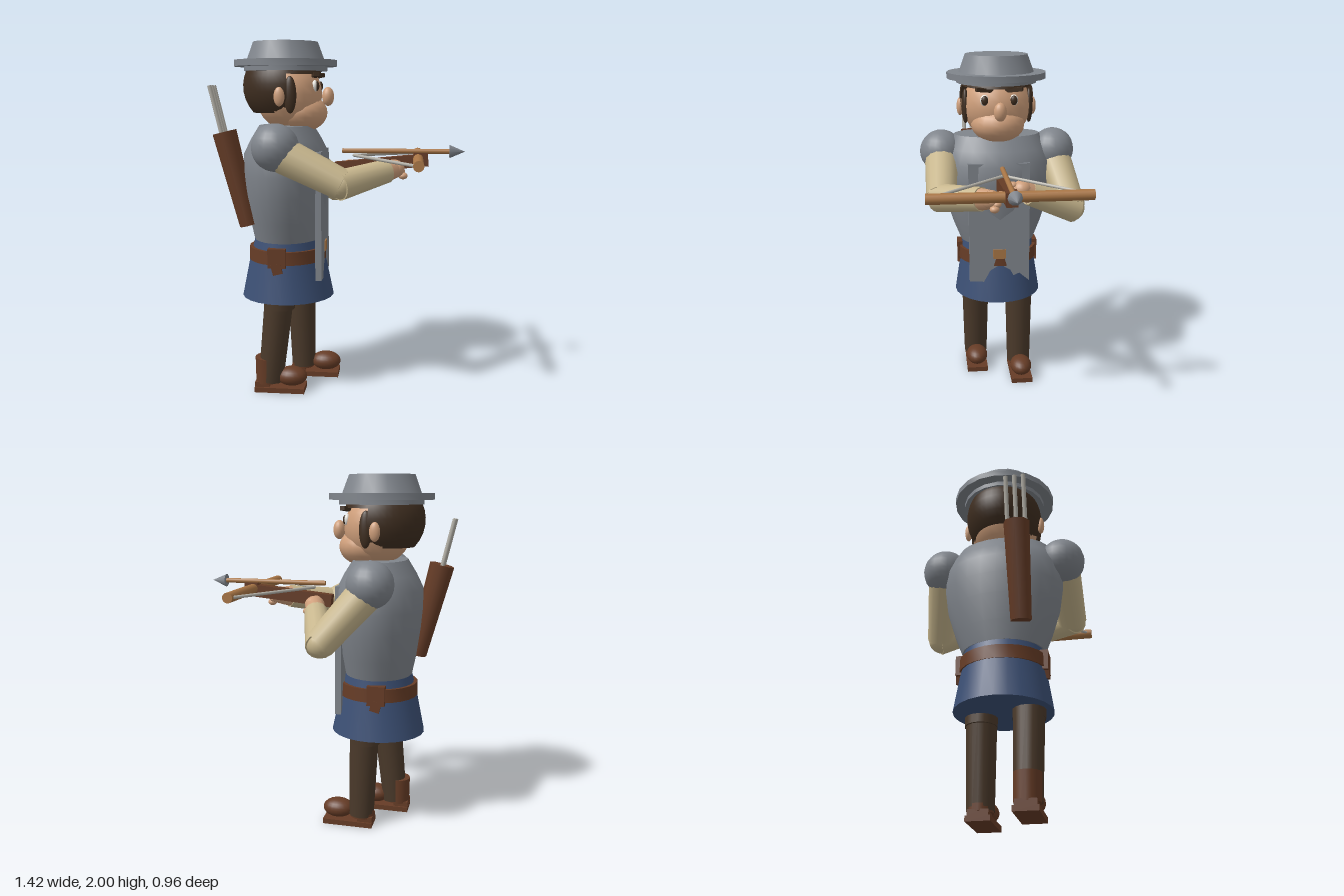
import * as THREE from 'three';
import { toCreasedNormals } from 'three/addons/utils/BufferGeometryUtils.js';

const mat = (name, color, side = THREE.FrontSide) => {
  const m = new THREE.MeshStandardMaterial({ color, side });
  m.name = name;
  return m;
};

export function createModel() {
  const root = new THREE.Group();
  root.name = 'crossbowman';
  const M = {
    steel: mat('steel', 0x80858c),
    skin: mat('skin', 0xcf9f7b),
    hair: mat('hair', 0x3f2e20, THREE.DoubleSide),
    sleeve: mat('sleeve cloth', 0xc8b78e),
    blue: mat('blue tunic', 0x3c5075),
    leather: mat('leather', 0x663c26),
    hose: mat('hose', 0x4a392a),
    wood: mat('wood', 0xa97646),
    shaft: mat('pale shaft', 0xb4b1a8),
    white: mat('eye white', 0xe8e6e0),
  };
  const CX = -0.305, CZ = 0.015;
  const V = (p) => new THREE.Vector3(...p);

  const add = (name, geo, m, pos = [0, 0, 0], rot = [0, 0, 0], parent = root) => {
    const mesh = new THREE.Mesh(geo, m);
    mesh.name = name;
    mesh.position.set(...pos);
    mesh.rotation.set(...rot);
    parent.add(mesh);
    return mesh;
  };
  const ball = (name, pos, r, m, rot) =>
    add(name, new THREE.SphereGeometry(1, 20, 14).scale(...r), m, pos, rot);
  const box = (name, size, pos, m, rot) => add(name, new THREE.BoxGeometry(...size), m, pos, rot);
  // Round bar from a to b, with a radius at each end
  const rod = (name, a, b, ra, rb, m, sides = 16) => {
    const d = V(b).sub(V(a));
    const mesh = add(name, new THREE.CylinderGeometry(rb, ra, d.length(), sides), m);
    mesh.position.copy(V(a)).addScaledVector(d, 0.5);
    mesh.quaternion.setFromUnitVectors(new THREE.Vector3(0, 1, 0), d.normalize());
    return mesh;
  };
  // Oval body from rings [y, x radius, z radius], listed bottom to top, capped at both ends
  const loft = (name, rings, m, sides = 24, crease = 0.6) => {
    const first = rings[0], last = rings[rings.length - 1];
    const all = [[first[0], 0.0005, 0.0005], ...rings, [last[0], 0.0005, 0.0005]];
    const g = new THREE.LatheGeometry(all.map((r) => new THREE.Vector2(1, r[0])), sides);
    const p = g.attributes.position;
    for (let i = 0; i < p.count; i++) {
      const r = all[i % all.length];
      p.setX(i, p.getX(i) * r[1]);
      p.setZ(i, p.getZ(i) * r[2]);
    }
    return add(name, toCreasedNormals(g, crease), m, [CX, 0, CZ]);
  };

  // Hat: inner band, wide brim, tapered crown
  loft('hatBand', [[1.84, 0.235, 0.235], [1.87, 0.235, 0.235]], M.steel, 20, 0.4);
  loft('hatBrim', [[1.865, 0.29, 0.29], [1.9, 0.29, 0.29]], M.steel, 20, 0.4);
  loft('hatCrown', [[1.89, 0.223, 0.223], [2, 0.182, 0.182]], M.steel, 20, 0.4);

  // Head and face
  ball('head', [-0.29, 1.71, CZ], [0.19, 0.2, 0.2], M.skin);
  ball('jaw', [-0.222, 1.61, CZ], [0.152, 0.11, 0.157], M.skin);
  ball('nose', [-0.066, 1.7, CZ], [0.034, 0.053, 0.037], M.skin);
  const hairBack = (200 / 180) * Math.PI;
  add('hair', new THREE.SphereGeometry(1, 24, 12, -hairBack / 2, hairBack, 0, 2.27).scale(0.24, 0.225, 0.217),
    M.hair, [-0.308, 1.755, CZ]);
  add('fringe', new THREE.SphereGeometry(1, 24, 6, 0, Math.PI * 2, 0, 1.25).scale(0.22, 0.21, 0.21),
    M.hair, [-0.31, 1.755, CZ]);
  for (const s of [1, -1]) {
    ball('ear', [-0.307, 1.7, CZ + s * 0.215], [0.03, 0.052, 0.02], M.skin);
    ball('sideburn', [-0.252, 1.71, CZ + s * 0.186], [0.035, 0.1, 0.022], M.hair);
    ball('eyeWhite', [-0.13, 1.757, CZ + s * 0.083], [0.018, 0.032, 0.025], M.white);
    ball('pupil', [-0.12, 1.757, CZ + s * 0.083], [0.015, 0.027, 0.02], M.hair);
    box('brow', [0.03, 0.022, 0.1], [-0.13, 1.815, CZ + s * 0.085], M.hair, [-s * 0.12, s * 0.35, 0]);
  }

  // Torso, skirt and belt
  loft('breastplate', [[0.89, 0.19, 0.225], [1.0, 0.212, 0.268], [1.15, 0.232, 0.315],
    [1.27, 0.242, 0.332], [1.38, 0.24, 0.33], [1.46, 0.2, 0.3], [1.54, 0.15, 0.255]], M.steel);
  loft('tunicSkirt', [[0.55, 0.268, 0.265], [0.77, 0.222, 0.23], [0.9, 0.187, 0.215]], M.blue);
  loft('belt', [[0.77, 0.225, 0.24], [0.845, 0.222, 0.238]], M.leather);
  for (const s of [1, -1]) {
    box('beltPouch', [0.1, 0.11, 0.05], [-0.33, 0.81, CZ + s * 0.222], M.leather);
    box('pouchFlap', [0.055, 0.06, 0.04], [-0.33, 0.75, CZ + s * 0.228], M.leather, [0, 0, 0.25]);
  }

  // Front plate with a ragged lower edge, shape x runs along -z
  const plate = new THREE.Shape([[-0.18, 1.4], [-0.18, 0.675], [-0.075, 0.67], [-0.015, 0.712], [0.05, 0.69],
    [0.12, 0.722], [0.18, 0.67], [0.18, 1.4]].map((p) => new THREE.Vector2(...p)));
  add('frontPlate', new THREE.ExtrudeGeometry(plate, { depth: 0.035, bevelEnabled: false }),
    M.steel, [-0.12, 0, 0.02], [0, Math.PI / 2, 0]);
  box('platePatch', [0.008, 0.058, 0.076], [-0.082, 0.847, 0.02], M.wood);

  // Legs and shoes: z, leg top x, ankle x, shoe offset
  for (const [z, top, ankle, sx] of [[0.153, -0.33, -0.392, -0.41], [-0.115, -0.25, -0.236, -0.24]]) {
    rod('leg', [ankle, 0.06, z], [top, 0.62, z], 0.073, 0.086, M.hose);
    rod('breechesCuff', [top - 0.004, 0.5, z], [top, 0.62, z], 0.087, 0.09, M.hose);
    rod('shoeShaft', [sx, 0.05, z], [sx, 0.2, z], 0.07, 0.072, M.leather);
    box('heel', [0.085, 0.03, 0.11], [sx - 0.025, 0.045, z], M.leather);
    box('sole', [0.29, 0.03, 0.13], [sx + 0.077, 0.015, z], M.leather);
    ball('shoeToe', [sx + 0.142, 0.085, z], [0.09, 0.056, 0.067], M.leather);
  }

  // Arms: shoulder, elbow, wrist and hand points
  const arms = [
    { sh: [-0.31, 1.415, 0.345], el: [0.045, 1.245, 0.36], wr: [0.27, 1.295, 0.15], ha: [0.315, 1.305, 0.105] },
    { sh: [-0.31, 1.415, -0.325], el: [-0.065, 1.13, -0.405], wr: [0.03, 1.25, -0.14], ha: [0.05, 1.285, -0.095] },
  ];
  for (const { sh, el, wr, ha } of arms) {
    ball('pauldron', [sh[0], 1.435, sh[2]], [0.128, 0.128, 0.128], M.steel);
    rod('upperArm', sh, el, 0.1, 0.084, M.sleeve, 14);
    ball('elbow', el, [0.078, 0.078, 0.078], M.sleeve);
    const over = V(el).lerp(V(wr), -0.08).toArray();
    rod('forearm', over, wr, 0.082, 0.066, M.sleeve, 14);
    rod('wrist', V(wr).lerp(V(el), 0.08).toArray(), ha, 0.063, 0.052, M.skin, 14);
    ball('hand', ha, [0.056, 0.05, 0.056], M.skin);
    const inward = -Math.sign(ha[2]);
    for (let i = 0; i < 4; i++)
      ball('finger', [ha[0] + 0.005 + i * 0.014, ha[1] + 0.025 - i * 0.022, ha[2] + inward * (0.052 - i * 0.012)],
        [0.026, 0.02, 0.026], M.skin);
  }

  // Crossbow: stock, bow, string and loaded bolt
  const BZ = 0.012;
  box('stock', [0.53, 0.07, 0.06], [0.238, 1.322, BZ], M.leather, [0, 0, 0.1]);
  box('stockNose', [0.08, 0.075, 0.062], [0.458, 1.35, BZ], M.leather);
  rod('bow', [0.445, 1.353, -0.42], [0.445, 1.353, 0.447], 0.029, 0.029, M.wood);
  for (const z of [-0.4, 0.425])
    rod('bowString', [0.43, 1.353, z], [0.08, 1.37, BZ], 0.009, 0.009, M.shaft, 8);
  rod('boltShaft', [0.015, 1.395, BZ], [0.63, 1.395, BZ], 0.014, 0.014, M.wood, 10);
  rod('boltHead', [0.62, 1.395, BZ], [0.705, 1.395, BZ], 0.038, 0.0005, M.steel, 10);

  // Quiver on the back with three spare bolts
  rod('quiver', [-0.505, 0.98, 0.143], [-0.635, 1.505, 0.143], 0.056, 0.07, M.leather, 8);
  for (const z of [0.095, 0.143, 0.191])
    rod('spareBolt', [-0.628, 1.45, z], [-0.7, 1.76, z], 0.012, 0.012, M.shaft, 8);

  return root;
}
